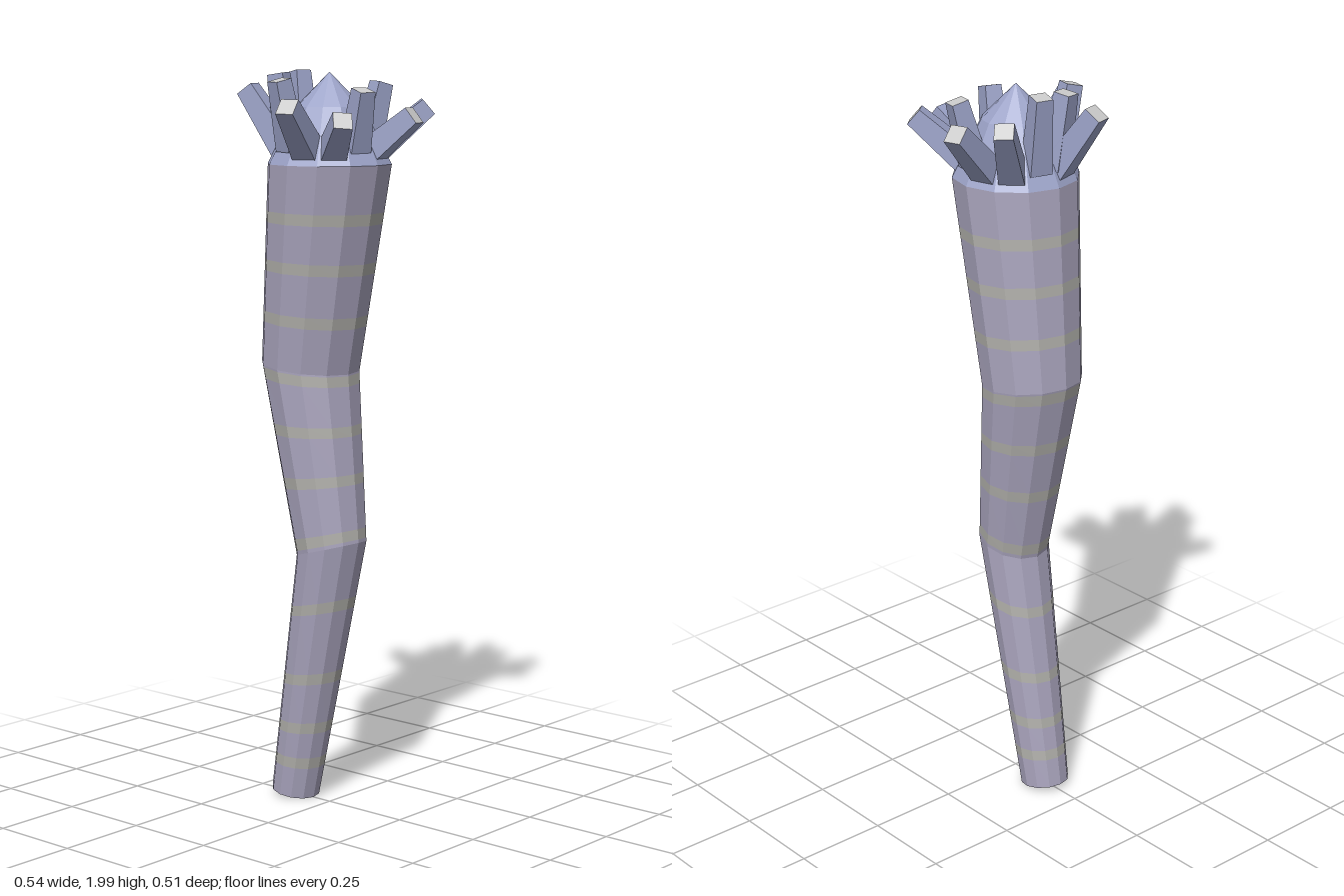
import * as THREE from 'three';

const SIDES = 12;
const mat = (color) => new THREE.MeshStandardMaterial({ color, flatShading: true });

// Bent stalk: centre x, y, z, radius and tilt (rise per unit z) of each joint
const JOINTS = [
  { x: 0, y: 0.01, z: -0.125, r: 0.066, tilt: -0.15 },
  { x: 0, y: 0.715, z: 0.007, r: 0.096, tilt: 0.27 },
  { x: 0.008, y: 1.205, z: -0.075, r: 0.134, tilt: -0.1 },
  { x: 0, y: 1.75, z: 0, r: 0.167, tilt: 0 },
];
const BANDS = [0.11, 0.21, 0.35, 0.55, 0.74, 0.9, 1.04, 1.185, 1.34, 1.48, 1.61];

// Corner i of the stalk's cross-section at centre height h
function corner(h, i) {
  let k = 0;
  while (k < JOINTS.length - 2 && h > JOINTS[k + 1].y) k++;
  const a = JOINTS[k], b = JOINTS[k + 1];
  const t = (h - a.y) / (b.y - a.y);
  const mix = (key) => a[key] + (b[key] - a[key]) * t;
  const ang = (i / SIDES) * Math.PI * 2;
  const r = mix('r');
  const dz = Math.sin(ang) * r;
  const rise = a.tilt * a.r * (1 - t) + b.tilt * b.r * t;
  return [mix('x') + Math.cos(ang) * r, h + Math.sin(ang) * rise, mix('z') + dz];
}

function meshFrom(points, material, name) {
  const geo = new THREE.BufferGeometry();
  geo.setAttribute('position', new THREE.Float32BufferAttribute(points, 3));
  geo.computeVertexNormals();
  const mesh = new THREE.Mesh(geo, material);
  mesh.name = name;
  return mesh;
}

// Tapered square tentacle with a pale tip; angle in degrees from +x towards +z
function tentacle(base, tip, width, skin, tipMat) {
  const dir = tip.clone().sub(base);
  const len = dir.length();
  const geo = new THREE.CylinderGeometry(width * 0.7, width * 0.95, len, 4, 1);
  geo.rotateY(Math.PI / 4);
  geo.translate(0, len / 2, 0);
  const up = dir.normalize();
  const side = new THREE.Vector3(-base.z, 0, base.x).normalize();
  const out = new THREE.Vector3().crossVectors(side, up).normalize();
  side.crossVectors(up, out);
  const mesh = new THREE.Mesh(geo, [skin, tipMat, skin]);
  mesh.applyMatrix4(new THREE.Matrix4().makeBasis(side, up, out).setPosition(base));
  mesh.name = 'tentacle';
  return mesh;
}

export function createModel() {
  const group = new THREE.Group();
  const skin = mat(0xa9a4bd);
  const bandMat = mat(0xb0afaa);
  const crownMat = mat(0x9ca3c8);
  const tipMat = mat(0xcccccc);

  // Stalk wall, split into plain skin and pale bands
  const half = 0.015;
  const levels = JOINTS.map((j) => j.y);
  BANDS.forEach((h) => levels.push(h - half, h + half));
  levels.sort((a, b) => a - b);
  const plain = [], striped = [];
  for (let k = 0; k < levels.length - 1; k++) {
    const lo = levels[k], hi = levels[k + 1], mid = (lo + hi) / 2;
    const target = BANDS.some((h) => Math.abs(h - mid) < half) ? striped : plain;
    for (let i = 0; i < SIDES; i++) {
      const a = corner(lo, i), b = corner(lo, i + 1), c = corner(hi, i + 1), d = corner(hi, i);
      target.push(...a, ...d, ...c, ...a, ...c, ...b);
    }
  }
  // Flat foot of the stalk
  const foot = JOINTS[0];
  for (let i = 0; i < SIDES; i++) {
    plain.push(foot.x, foot.y, foot.z, ...corner(foot.y, i), ...corner(foot.y, i + 1));
  }
  group.add(meshFrom(plain, skin, 'stalk'), meshFrom(striped, bandMat, 'stalkBands'));

  // Crown: steep collar with a pointed cap
  const collar = new THREE.Mesh(new THREE.CylinderGeometry(0.09, 0.167, 0.15, SIDES, 1, true), crownMat);
  collar.position.y = 1.825;
  collar.name = 'crownCollar';
  const cap = new THREE.Mesh(new THREE.ConeGeometry(0.09, 0.09, SIDES, 1, true), crownMat);
  cap.position.y = 1.945;
  cap.name = 'crownCap';
  group.add(collar, cap);

  // Spread tentacles lean out from the rim, upright ones stand on the collar
  const addTentacles = (baseR, baseY, width, name, list) => {
    const ring = new THREE.Group();
    ring.name = name;
    for (const [deg, x, y, z] of list) {
      const a = THREE.MathUtils.degToRad(deg);
      const base = new THREE.Vector3(Math.cos(a) * baseR, baseY, Math.sin(a) * baseR);
      ring.add(tentacle(base, new THREE.Vector3(x, y, z), width, crownMat, tipMat));
    }
    group.add(ring);
  };
  addTentacles(0.125, 1.785, 0.05, 'spreadTentacles', [
    [-15, 0.25, 1.915, -0.06],
    [-45, 0.178, 1.93, -0.16],
    [-107, -0.07, 1.945, -0.228],
    [165, -0.245, 1.905, 0.07],
    [135, -0.155, 1.87, 0.18],
    [75, 0.065, 1.88, 0.235],
    [45, 0.18, 1.9, 0.188],
  ]);
  addTentacles(0.118, 1.79, 0.046, 'uprightTentacles', [
    [-75, 0.045, 1.99, -0.147],
    [-105, -0.045, 1.985, -0.14],
    [-165, -0.155, 1.97, -0.038],
    [15, 0.155, 1.96, 0.048],
    [105, -0.045, 1.945, 0.155],
  ]);
  return group;
}
